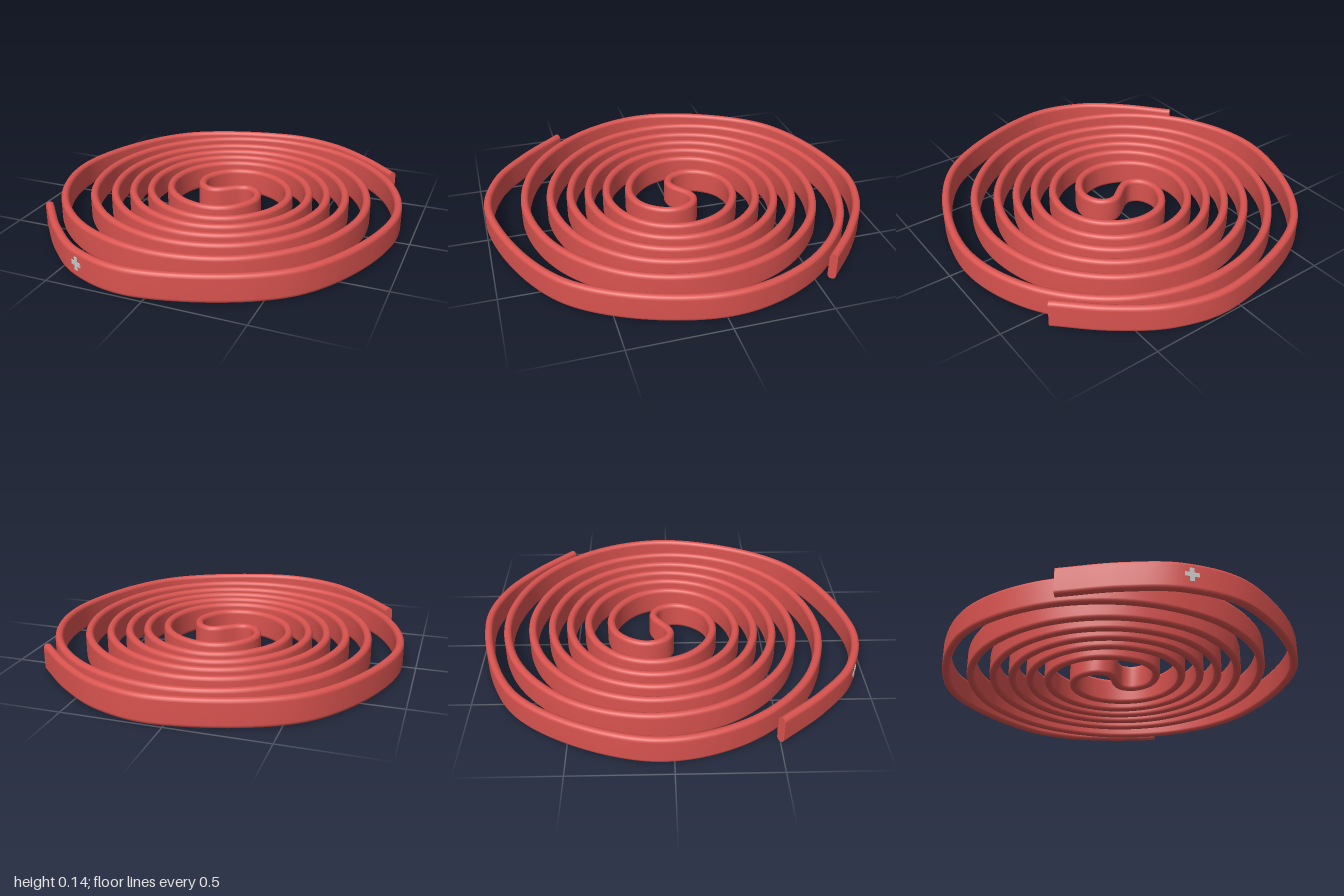
import * as THREE from 'three';

const HEIGHT = 0.145, RADIUS = 0.021, CENTRE_Z = -0.045;

// Radius of one spiral arm at each quarter turn
const RADII = [0.276, 0.339, 0.397, 0.442, 0.495, 0.538, 0.592, 0.638, 0.698, 0.754, 0.833, 0.912];

const polar = (deg, r) => {
  const a = THREE.MathUtils.degToRad(deg);
  return [r * Math.cos(a), r * Math.sin(a)];
};

// One arm: inner hook, even spiral, then its own tail
function armPoints(tail) {
  const pts = [[0.045, -0.033], [0.09, -0.045], [0.148, -0.015], [0.18, 0.07], [0.157, 0.157], [0.08, 0.242]];
  const steps = 3;
  for (let k = 0; k < RADII.length; k++) {
    const p = [k - 1, k, k + 1, k + 2].map(i => RADII[THREE.MathUtils.clamp(i, 0, RADII.length - 1)]);
    const count = k < RADII.length - 1 ? steps : 1;
    for (let s = 0; s < count; s++) {
      const t = s / steps;
      const m0 = (p[2] - p[0]) / 2, m1 = (p[3] - p[1]) / 2;
      const r = (2 * t ** 3 - 3 * t * t + 1) * p[1] + (t ** 3 - 2 * t * t + t) * m0
        + (3 * t * t - 2 * t ** 3) * p[2] + (t ** 3 - t * t) * m1;
      pts.push(polar((k + 1 + t) * 90 + (k === 0 ? 9 - 4 * t : 5), r));
    }
  }
  tail.forEach(([deg, r]) => pts.push(polar(deg, r)));
  return pts;
}

// Upright strip with rounded top and bottom swept along a flat curve
function sweepStrip(curve, count) {
  const section = [];
  const arc = 8;
  for (let half = 0; half < 2; half++) {
    for (let i = 0; i <= arc; i++) {
      const a = Math.PI * (half + i / arc);
      const mid = half === 0 ? HEIGHT - RADIUS : RADIUS;
      section.push([RADIUS * Math.cos(a), mid + RADIUS * Math.sin(a)]);
    }
  }
  const n = section.length, pos = [], index = [];
  const addRing = u => {
    const p = curve.getPointAt(u), t = curve.getTangentAt(u);
    section.forEach(([s, y]) => pos.push(p.x + t.z * s, y, p.z - t.x * s));
  };
  for (let i = 0; i <= count; i++) {
    addRing(i / count);
    if (i === count) break;
    for (let j = 0; j < n; j++) {
      const a = i * n + j, b = i * n + (j + 1) % n;
      index.push(a, b, a + n, b, b + n, a + n);
    }
  }
  // Flat end caps with their own vertices
  for (const u of [0, 1]) {
    const base = pos.length / 3;
    addRing(u);
    for (let j = 1; j < n - 1; j++) {
      if (u) index.push(base, base + j, base + j + 1);
      else index.push(base, base + j + 1, base + j);
    }
  }
  const geo = new THREE.BufferGeometry();
  geo.setAttribute('position', new THREE.Float32BufferAttribute(pos, 3));
  geo.setIndex(index);
  geo.computeVertexNormals();
  return geo;
}

export function createModel() {
  const group = new THREE.Group();
  group.name = 'doubleSpiral';

  // Two arms, half a turn apart, joined at the centre
  const frontArm = armPoints([[50, 0.962], [93, 1.02], [112, 1.022], [128, 0.98], [145.7, 0.966]]);
  const backArm = armPoints([[50, 0.925], [92, 0.935], [111, 0.942], [129, 0.93], [145.9, 0.952]])
    .map(([x, z]) => [-x, -z]);
  const path = [...backArm.reverse(), [0, 0], ...frontArm]
    .map(([x, z]) => new THREE.Vector3(x, 0, z + CENTRE_Z));
  const curve = new THREE.CatmullRomCurve3(path);
  curve.arcLengthDivisions = 3000;

  const strip = new THREE.Mesh(sweepStrip(curve, 1400),
    new THREE.MeshStandardMaterial({ color: 0xd9534f }));
  strip.name = 'spiralStrip';
  group.add(strip);

  // Small grey cross on the outside of the front tail
  let u = 1;
  while (curve.getPointAt(u).x < -0.37) u -= 0.0005;
  const p = curve.getPointAt(u), t = curve.getTangentAt(u);
  const a = 0.034, b = 0.011;
  const outline = [[b, b], [b, a], [-b, a], [-b, b], [-a, b], [-a, -b],
    [-b, -b], [-b, -a], [b, -a], [b, -b], [a, -b], [a, b]];
  const shape = new THREE.Shape(outline.map(q => new THREE.Vector2(...q)));
  const cross = new THREE.Mesh(
    new THREE.ExtrudeGeometry(shape, { depth: 0.008, bevelEnabled: false }),
    new THREE.MeshStandardMaterial({ color: 0xcccccc }));
  cross.name = 'crossMark';
  const out = RADIUS - 0.005;
  cross.position.set(p.x + t.z * out, 0.08, p.z - t.x * out);
  cross.rotation.y = Math.atan2(t.z, -t.x);
  group.add(cross);

  return group;
}
